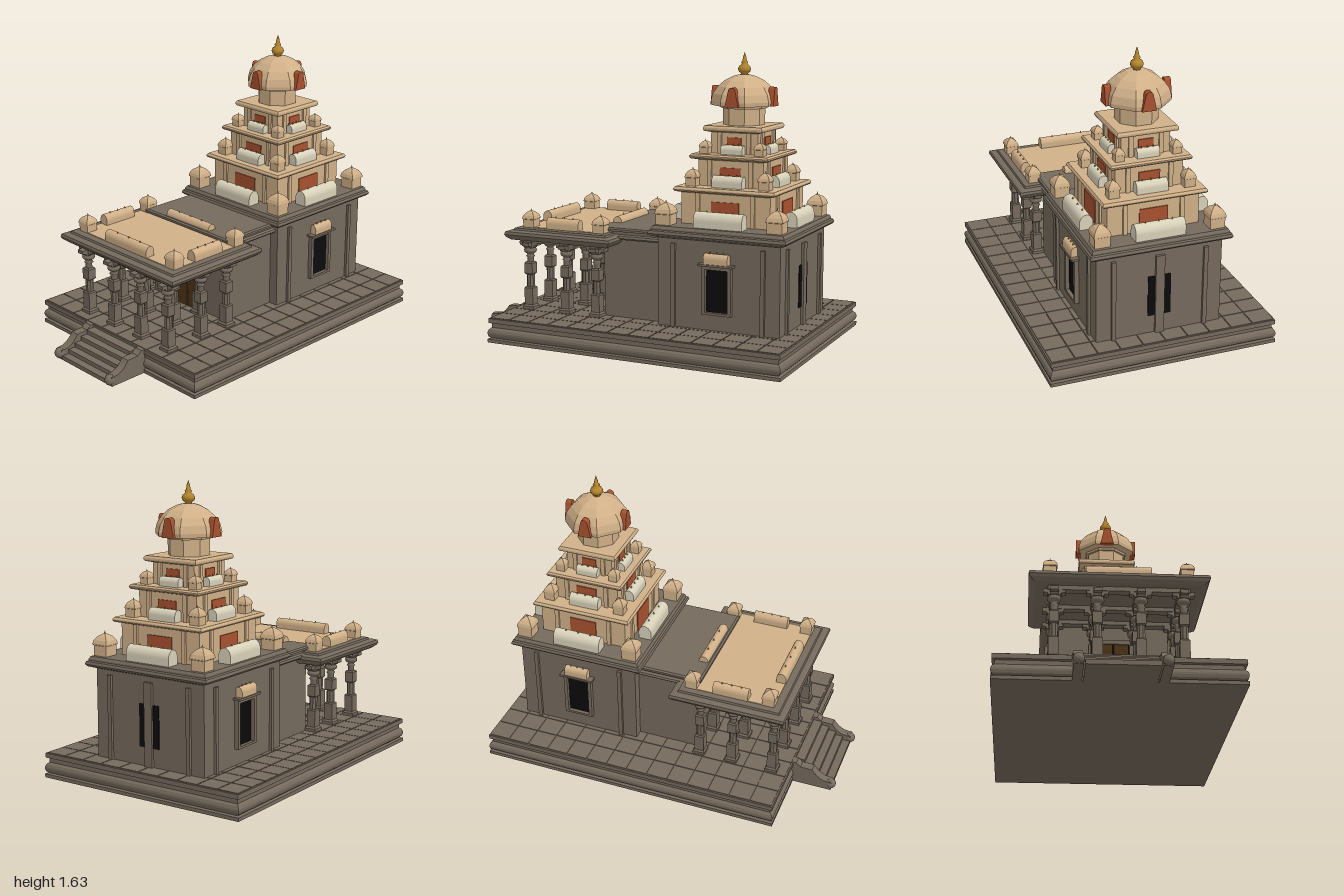
import * as THREE from 'three';
import { mergeGeometries } from 'three/addons/utils/BufferGeometryUtils.js';

const mat = (name, color, side = THREE.FrontSide) => {
  const m = new THREE.MeshStandardMaterial({ color, side });
  m.name = name;
  return m;
};

export function createModel() {
  const stone = mat('grey stone', 0x756a5d);
  const cream = mat('cream plaster', 0xd0b088);
  const pale = mat('pale plaster', 0xd8d1b9);
  const red = mat('terracotta', 0xa8512f);
  const gold = mat('gold', 0xb5862e);
  const wood = mat('door wood', 0x4c3418);
  const black = mat('dark opening', 0x0b0b0b);

  const root = new THREE.Group();
  root.name = 'temple';

  const add = (parent, name, geo, m, x = 0, y = 0, z = 0) => {
    const mesh = new THREE.Mesh(geo, m);
    mesh.name = name;
    mesh.position.set(x, y, z);
    parent.add(mesh);
    return mesh;
  };
  const group = (parent, name, x = 0, y = 0, z = 0, ry = 0) => {
    const g = new THREE.Group();
    g.name = name;
    g.position.set(x, y, z);
    g.rotation.y = ry;
    parent.add(g);
    return g;
  };
  const box = (w, y0, y1, d, x = 0, z = 0) =>
    new THREE.BoxGeometry(w, y1 - y0, d).translate(x, (y0 + y1) / 2, z);
  const flat = (geo) => {
    const g = geo.index ? geo.toNonIndexed() : geo;
    g.computeVertexNormals();
    return g;
  };

  // Rectangular moulding: each profile point is [outward offset, height]
  const moulding = (hx, hz, profile) => {
    const pos = [], idx = [];
    for (const [o, y] of profile) {
      const a = hx + o, b = hz + o;
      pos.push(-a, y, b, a, y, b, a, y, -b, -a, y, -b);
    }
    const n = profile.length;
    for (let i = 0; i < n - 1; i++) for (let k = 0; k < 4; k++) {
      const a = i * 4 + k, b = i * 4 + (k + 1) % 4;
      idx.push(a, b, b + 4, a, b + 4, a + 4);
    }
    const t = (n - 1) * 4;
    idx.push(0, 3, 2, 0, 2, 1, t, t + 1, t + 2, t, t + 2, t + 3);
    const g = new THREE.BufferGeometry();
    g.setAttribute('position', new THREE.Float32BufferAttribute(pos, 3));
    g.setIndex(idx);
    return flat(g);
  };
  const lathe = (pts, seg, start = 0) =>
    new THREE.LatheGeometry(pts.map(p => new THREE.Vector2(...p)), seg, start);

  // Corner shrine with a four-sided dome
  const kiosk = (parent, x, y, z, h, H, m = cream) => {
    const g = group(parent, 'cornerShrine', x, y, z);
    add(g, 'shrineBody', moulding(0, 0, [[h * .9, 0], [h * .9, H * .42], [h, H * .44], [h, H * .5],
      [h * .9, H * .62], [h * .62, H * .76], [h * .2, H * .86], [h * .08, H * .87]]), m);
    add(g, 'shrineFinial', new THREE.ConeGeometry(h * .14, H * .16, 8), m, 0, H * .92, 0);
  };

  // Barrel-roofed shrine, its length along x
  const barrel = (parent, x, y, z, len, half, h, m, ry = 0) => {
    const g = group(parent, 'barrelShrine', x, y, z, ry);
    const s = new THREE.Shape();
    s.moveTo(half, 0);
    s.lineTo(half, h * .45);
    s.absellipse(0, h * .45, half, h * .55, 0, Math.PI, false);
    s.lineTo(-half, 0);
    const geo = new THREE.ExtrudeGeometry(s, { depth: len, bevelEnabled: false, curveSegments: 10 });
    add(g, 'barrelRoof', geo.translate(0, 0, -len / 2).rotateY(Math.PI / 2), m);
    for (const k of [-1, 0, 1])
      add(g, 'ridgeFinial', new THREE.ConeGeometry(.006, .014, 6), gold, k * len * .27, h + .004, 0);
  };

  // Platform and paving
  const base = group(root, 'platform', 0, 0, -.125);
  add(base, 'plinth', moulding(.645, .875, [[0, 0], [0, .02], [-.015, .025], [-.004, .035], [0, .05],
    [0, .06], [-.006, .075], [-.018, .085], [-.018, .108], [-.004, .112], [-.004, .138]]), stone);
  const tiles = [], tx = 1.27 / 10, tz = 1.73 / 14;
  for (let i = 0; i < 10; i++) for (let j = 0; j < 14; j++)
    tiles.push(box(tx - .005, .137, .142, tz - .005, (i - 4.5) * tx, (j - 6.5) * tz));
  add(base, 'pavingTiles', mergeGeometries(tiles), stone);

  // Entrance steps with curved side walls
  const stairs = group(root, 'stairs');
  for (let i = 0; i < 5; i++)
    add(stairs, 'step', box(.37, 0, .025 * (i + 1), .235 - i * .044, 0, .74 + (.235 - i * .044) / 2), stone);
  const rail = new THREE.Shape();
  rail.moveTo(.74, 0);
  rail.lineTo(.975, 0);
  rail.lineTo(.975, .052);
  rail.lineTo(.93, .057);
  rail.quadraticCurveTo(.89, .07, .86, .115);
  rail.lineTo(.79, .118);
  rail.lineTo(.765, .14);
  rail.lineTo(.74, .14);
  for (const s of [-1, 1]) {
    const geo = new THREE.ExtrudeGeometry(rail, { depth: .05, bevelEnabled: false });
    add(stairs, 'sideWall', geo.rotateY(-Math.PI / 2).translate(s * .217 + .025, 0, 0), stone);
    add(stairs, 'scrollEnd', new THREE.SphereGeometry(.03, 16, 12), stone, s * .217, .03, .968);
  }

  // Sanctum walls and cornice
  const Z = -.53;
  const sanctum = group(root, 'sanctum', 0, 0, Z);
  add(sanctum, 'walls', box(.71, .13, .66, .71), stone);
  add(sanctum, 'cornice', moulding(.355, .355, [[0, .63], [.035, .643], [.045, .655], [.04, .67],
    [.03, .675], [.03, .683], [.022, .697], [0, .7]]), stone);
  for (let k = 0; k < 4; k++) {
    const side = group(sanctum, 'wallSide', 0, 0, 0, k * Math.PI / 2);
    for (const s of [-1, 1])
      add(side, 'pilaster', box(.024, .14, .605, .03, s * .26, .355), stone);
    if (k === 0) continue;
    add(side, 'niche', box(.13, .245, .48, .006, 0, .356), black);
    if (k === 2) {
      add(side, 'nichePost', box(.05, .14, .6, .03, 0, .355), stone);
      continue;
    }
    for (const s of [-1, 1]) add(side, 'nicheJamb', box(.02, .24, .5, .04, s * .075, .36), stone);
    add(side, 'nicheSill', box(.17, .232, .245, .04, 0, .36), stone);
    add(side, 'nicheLintel', box(.17, .48, .5, .04, 0, .36), stone);
    add(side, 'nicheLedge', box(.2, .5, .512, .07, 0, .365), stone);
    barrel(side, 0, .512, .37, .14, .024, .056, cream);
  }

  // Stepped tower: wall half, base y, cornice y, top y, cornice half, shrines, panel
  const tower = group(root, 'tower', 0, 0, Z);
  const tiers = [
    { w: .258, y: .7, c: .88, t: .905, o: .293, kx: .322, kh: .047, kH: .135, sx: .33, sl: .28, sh: .038, sH: .085, p: .08, py: .83, pil: .16 },
    { w: .19, y: .905, c: 1.055, t: 1.08, o: .228, kx: .212, kh: .034, kH: .105, sx: .214, sl: .176, sh: .03, sH: .064, p: .06, py: 1.01, pil: .12 },
    { w: .137, y: 1.08, c: 1.203, t: 1.232, o: .172, kx: .16, kh: .028, kH: .08, sx: .158, sl: .126, sh: .024, sH: .05, p: .042, py: 1.17, pil: .085 },
  ];
  for (const q of tiers) {
    const e = q.o - q.w, d = q.t - q.c;
    add(tower, 'tierWall', box(q.w * 2, q.y - .005, q.c + .005, q.w * 2), cream);
    add(tower, 'tierCornice', moulding(q.w, q.w, [[0, q.c - .008], [e * .85, q.c], [e, q.c + d * .3],
      [e, q.c + d * .6], [e * .85, q.t - .002], [e * .8, q.t]]), cream);
    for (let k = 0; k < 4; k++) {
      const side = group(tower, 'tierSide', 0, 0, 0, k * Math.PI / 2);
      add(side, 'redPanel', box(q.p * 2, q.y, q.py, .008, 0, q.w + .002), red);
      barrel(side, 0, q.y, q.sx, q.sl, q.sh, q.sH, pale);
      for (const s of [-1, 1])
        add(side, 'tierPilaster', box(.024, q.y, q.c, .022, s * q.pil, q.w), cream);
      kiosk(side, q.kx, q.y, q.kx, q.kh, q.kH);
    }
  }

  // Octagonal neck, dome, arched plates and finial
  const C = Math.cos(Math.PI / 8);
  const oct = (pts) => flat(lathe(pts.map(([r, y]) => [r / C, y]), 8, Math.PI / 8));
  add(tower, 'neck', oct([[.107, 1.225], [.107, 1.33]]), cream);
  add(tower, 'dome', oct([[0, 1.322], [.118, 1.322], [.122, 1.335], [.168, 1.338], [.17, 1.36], [.16, 1.4],
    [.135, 1.44], [.1, 1.473], [.055, 1.497], [.025, 1.505], [0, 1.505]]), cream);
  const arch = new THREE.Shape();
  arch.moveTo(-.04, 0);
  arch.lineTo(.04, 0);
  arch.lineTo(.02, .09);
  arch.quadraticCurveTo(.017, .105, 0, .105);
  arch.quadraticCurveTo(-.017, .105, -.02, .09);
  for (let k = 0; k < 4; k++) {
    const side = group(tower, 'domeSide', 0, 1.337, 0, k * Math.PI / 2);
    add(side, 'archPlate', new THREE.ExtrudeGeometry(arch, { depth: .035, bevelEnabled: false }), red, 0, 0, .15);
  }
  add(tower, 'finial', lathe([[0, 1.5], [.022, 1.502], [.018, 1.51], [.031, 1.52], [.036, 1.535], [.03, 1.55],
    [.014, 1.562], [.02, 1.57], [.012, 1.58], [.009, 1.6], [0, 1.628]], 20), gold);

  // Vestibule between sanctum and porch
  const hall = group(root, 'vestibule');
  add(hall, 'hallWalls', box(.6, .13, .61, .4, 0, -.015), stone);
  const roof = moulding(.3, .18, [[0, .585], [.03, .59], [.04, .6], [.035, .612], [.02, .618], [.02, .632],
    [.04, .636], [.04, .648], [.03, .655]]);
  add(hall, 'hallRoof', roof, stone, 0, 0, -.005);

  // Studded double door
  const door = group(root, 'door', 0, 0, .187);
  add(door, 'doorRecess', box(.18, .14, .432, .004), black);
  for (const s of [-1, 1]) {
    add(door, 'doorLeaf', box(.08, .142, .43, .016, s * .043, .004), wood);
    add(door, 'doorJamb', box(.018, .14, .445, .03, s * .096), stone);
    for (let i = 0; i < 5; i++) for (const u of [-.022, .022])
      add(door, 'stud', new THREE.SphereGeometry(.0035, 6, 4), gold, s * .043 + u, .175 + i * .055, .012);
  }
  add(door, 'doorLintel', box(.21, .432, .455, .03), stone);

  // Porch columns
  const bracket = new THREE.Shape();
  [[-.03, .5], [.03, .5], [.036, .512], [.058, .515], [.058, .535], [-.058, .535], [-.058, .515], [-.036, .512]]
    .forEach(([x, y], i) => (i ? bracket.lineTo(x, y) : bracket.moveTo(x, y)));
  const shaft = oct([[.021, .26], [.021, .36]]);
  const capital = lathe([[.019, .41], [.019, .445], [.026, .45], [.019, .457], [.02, .465], [.034, .475],
    [.037, .486], [.032, .497], [.02, .502]], 16);
  const porch = group(root, 'porch');
  for (const x of [-.335, -.112, .112, .335]) for (const z of [.65, .41, .215]) {
    const col = group(porch, 'column', x, 0, z);
    add(col, 'columnBase', moulding(0, 0, [[.035, .138], [.035, .158], [.027, .168], [.027, .265], [.02, .272]]), stone);
    add(col, 'columnShaft', shaft, stone);
    add(col, 'columnBlock', moulding(0, 0, [[.02, .343], [.026, .35], [.026, .41], [.019, .418]]), stone);
    add(col, 'columnCapital', capital, stone);
    for (const r of [0, Math.PI / 2]) {
      const arm = new THREE.ExtrudeGeometry(bracket, { depth: .044, bevelEnabled: false });
      add(col, 'columnBracket', arm.translate(0, 0, -.022).rotateY(r), stone);
    }
  }

  // Porch roof with its shrines
  for (const z of [.65, .41, .215]) add(porch, 'crossBeam', box(.74, .53, .57, .05, 0, z), stone);
  for (const x of [-.335, -.112, .112, .335]) add(porch, 'longBeam', box(.05, .531, .57, .49, x, .43), stone);
  add(porch, 'porchCornice', moulding(.39, .255, [[0, .552], [.05, .558], [.072, .575], [.08, .59], [.076, .606],
    [.06, .612], [.04, .613], [.036, .624], [0, .626]]), stone, 0, 0, .405);
  add(porch, 'porchRoof', box(.78, .615, .63, .51, 0, .4), cream);
  for (const s of [-1, 1]) {
    for (const z of [.175, .625]) kiosk(porch, s * .36, .628, z, .038, .105);
    barrel(porch, s * .365, .628, .405, .205, .028, .062, cream, Math.PI / 2);
    barrel(porch, 0, .628, .4 + s * .23, .345, .028, .062, cream);
  }
  return root;
}
